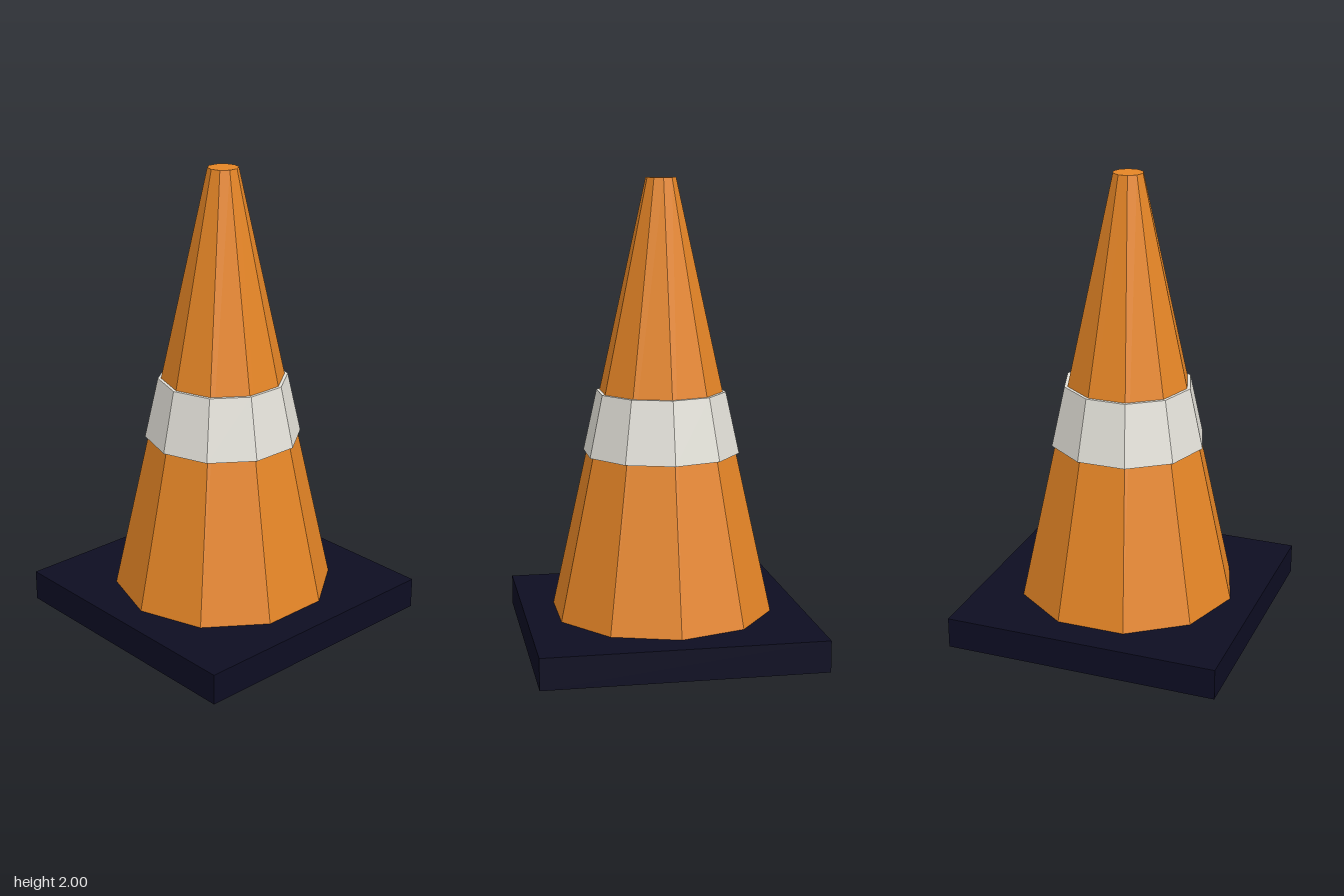
import * as THREE from 'three';

export function createModel() {
  const model = new THREE.Group();
  model.name = 'trafficCone';

  const material = (name, color) => {
    const m = new THREE.MeshStandardMaterial({ color, flatShading: true });
    m.name = name;
    return m;
  };
  const orange = material('orange', 0xe58526);
  const white = material('offWhite', 0xe2e0d8);
  const navy = material('darkNavy', 0x0d0d22);

  const add = (name, geometry, mat, y) => {
    const mesh = new THREE.Mesh(geometry, mat);
    mesh.name = name;
    mesh.position.y = y;
    model.add(mesh);
  };

  // Ten-sided frustum standing between two heights
  const frustum = (name, rTop, rBottom, y0, y1, mat) =>
    add(name, new THREE.CylinderGeometry(rTop, rBottom, y1 - y0, 10), mat, (y0 + y1) / 2);

  // Square foot
  add('base', new THREE.BoxGeometry(1.2, 0.135, 1.2), navy, 0.0675);

  // Tapered body and the slightly wider reflective collar
  frustum('coneBody', 0.065, 0.48, 0.135, 2, orange);
  frustum('reflectiveBand', 0.28, 0.339, 0.83, 1.095, white);

  return model;
}
